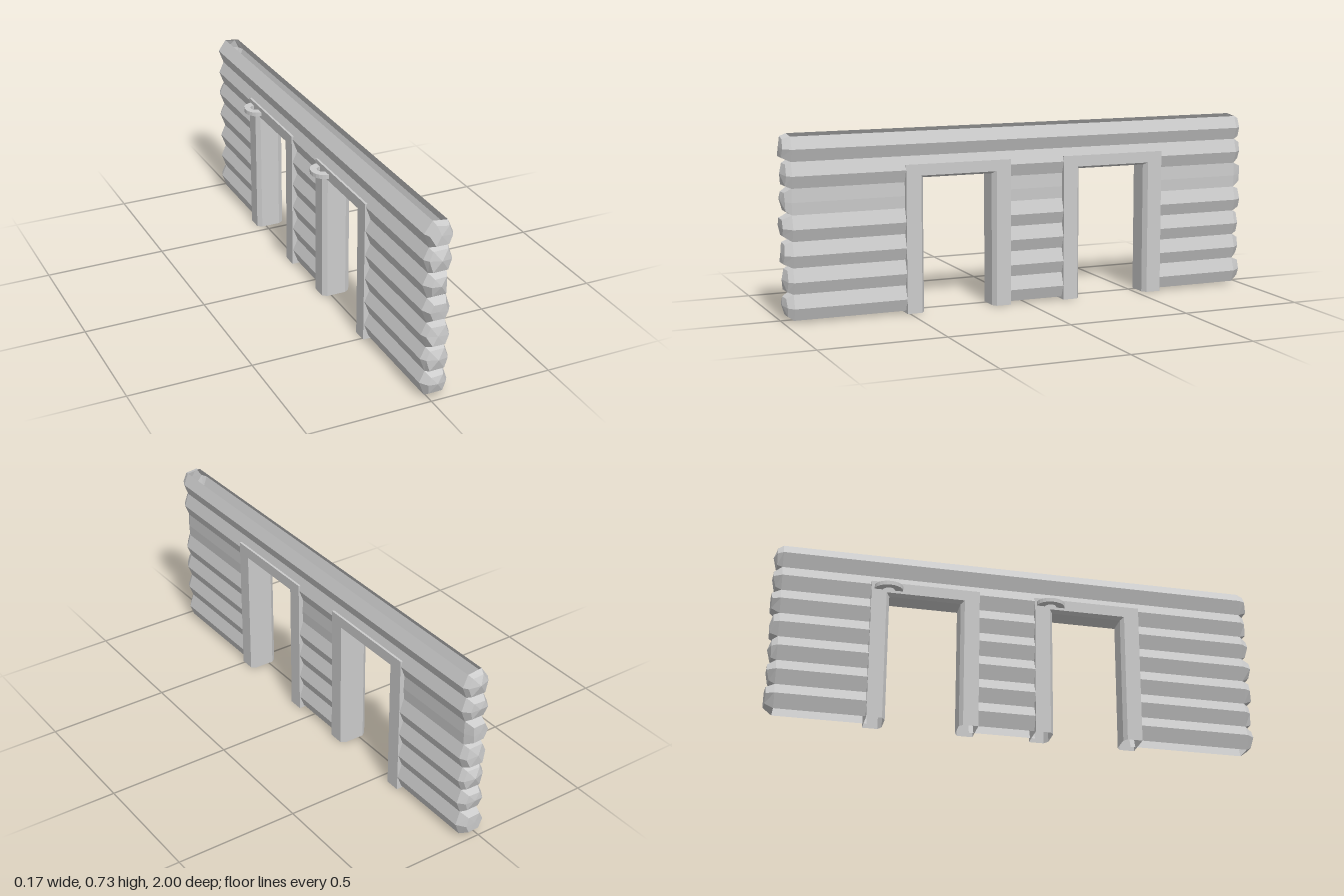
import * as THREE from 'three';

const material = new THREE.MeshStandardMaterial({ color: 0xcccccc, flatShading: true, side: THREE.DoubleSide });

// Skin a list of equal-length point rings with flat quads
function loft(rings, closed) {
  const pos = [];
  for (let r = 0; r + 1 < rings.length; r++) {
    const a = rings[r], b = rings[r + 1], n = a.length;
    for (let i = 0; i < (closed ? n : n - 1); i++) {
      const j = (i + 1) % n;
      pos.push(...a[i], ...a[j], ...b[i], ...a[j], ...b[j], ...b[i]);
    }
  }
  const g = new THREE.BufferGeometry();
  g.setAttribute('position', new THREE.Float32BufferAttribute(pos, 3));
  g.computeVertexNormals();
  return g;
}

function add(parent, name, geometry) {
  const m = new THREE.Mesh(geometry, material);
  m.name = name;
  parent.add(m);
  return m;
}

const LOGS = 7, PITCH = 0.102, BASE = 0.01, END = 0.962;

// Wall outline of each side, from bottom to top: valley, bulge, valley, bulge ...
const left = [], right = [];
for (let i = 0; i < LOGS; i++) {
  const y = BASE + i * PITCH;
  left.push([-0.012, y], [-0.033, y + 0.057]);
  right.push([0.063, y], [i === 4 ? 0.065 : 0.081, y + 0.048]);
}
left.push([0, 0.725]);
right.push([0.06, 0.718]);

// Zigzag log faces of both sides between two z positions
function logFaces(parent, name, z0, z1, from, to) {
  const sides = { Right: right.slice(from, to), Left: left.slice(from, to).reverse() };
  for (const [side, pts] of Object.entries(sides)) {
    add(parent, name + side, loft([z0, z1].map(z => pts.map(([x, y]) => [x, y, z])), false));
  }
}

// Roughly hewn, tapered end of one log
function logEnd(parent, i, s) {
  const k = 2 * i;
  const outline = [left[k], right[k], right[k + 1], right[k + 2], left[k + 2], left[k + 1]];
  const wobble = n => Math.sin(n * 12.9 + i * 4.7 + s * 2.1);
  const cx = 0.022 + 0.005 * wobble(1), cy = BASE + (i + 0.5) * PITCH + 0.005;
  const full = outline.map(([x, y]) => [x, y, s * END]);
  const tip = outline.map(([x, y], j) => {
    const f = 0.72 + 0.1 * wobble(j + 2);
    return [cx + (x - cx) * f, cy + (y - cy) * f, s * (0.99 + 0.008 * wobble(j + 9))];
  });
  const centre = outline.map(() => [cx, cy, s * 0.998]);
  const rings = [full, tip, centre];
  add(parent, 'logEnd', loft(s > 0 ? rings : rings.reverse(), true));
}

// Chamfered frame swept up, across and down around a doorway
function doorFrame(parent, z0, z1) {
  const profile = [[0, 0.083], [0.82, 0.083], [1, 0.062], [1, -0.018], [0.82, -0.036], [0, -0.036]];
  const top = 0.59, postWidth = 0.075, lintelHeight = 0.055;
  const station = (z, dir, upper) => profile.map(([t, x]) =>
    [x, upper ? top - t * lintelHeight : 0, z + dir * t * postWidth]);
  add(parent, 'doorFrame', loft([
    station(z0, -1, false), station(z0, -1, true), station(z1, 1, true), station(z1, 1, false),
  ], true));
}

// Half-ring bracket projecting from the frame
function bracket(parent, z) {
  const shape = new THREE.Shape();
  shape.absellipse(0, 0, 0.058, 0.05, 0, Math.PI, false);
  shape.lineTo(-0.028, 0);
  shape.absellipse(0, 0, 0.024, 0.024, Math.PI, 0, true);
  const g = new THREE.ExtrudeGeometry(shape, { depth: 0.017, bevelEnabled: false, curveSegments: 6 });
  g.rotateX(-Math.PI / 2).rotateY(Math.PI / 2);
  add(parent, 'bracket', g).position.set(-0.035, 0.556, z);
}

export function createModel() {
  const group = new THREE.Group();
  group.name = 'logWall';

  // Continuous logs above the doorways, shorter ones between them
  logFaces(group, 'upperLogs', -END, END, 11, 15);
  for (const [z0, z1] of [[0.49, END], [-0.18, 0.09], [-END, -0.59]]) {
    logFaces(group, 'lowerLogs', z0, z1, 0, 12);
  }

  for (let i = 0; i < LOGS; i++) {
    for (const s of [1, -1]) logEnd(group, i, s);
  }

  // Doorways
  for (const [z0, z1] of [[0.51, 0.07], [-0.162, -0.605]]) doorFrame(group, z0, z1);
  for (const z of [0.135, -0.535]) bracket(group, z);

  return group;
}
